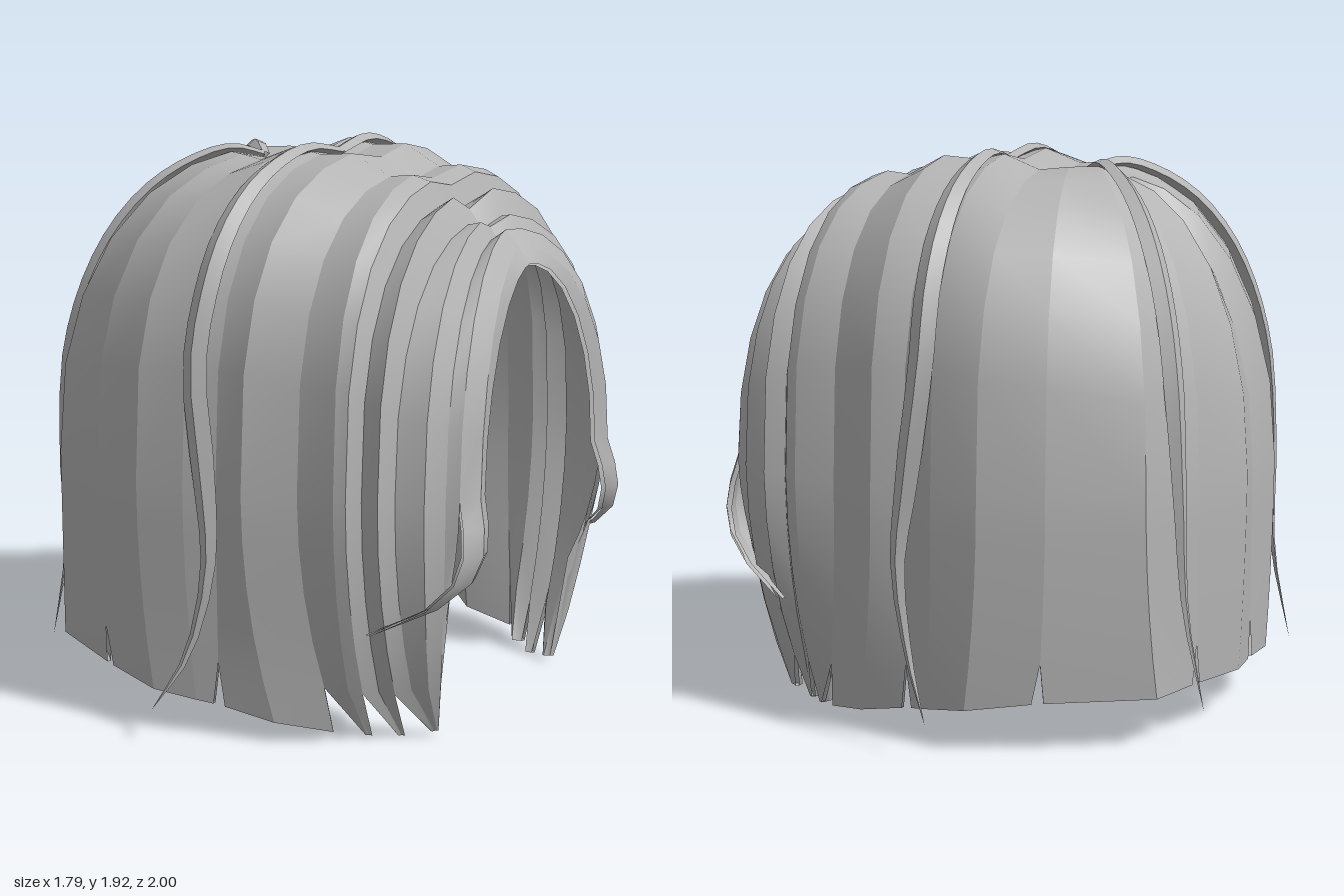
import * as THREE from 'three';

const hair = new THREE.MeshStandardMaterial({ color: 0xb4b4b4, side: THREE.DoubleSide });
hair.name = 'hairGrey';

const BULGE_Y = 0.85;
const ANGLES = [0, 0.13, 0.32, 0.55, 0.8, 1.05, 1.3, Math.PI / 2];
const DROPS = [0.2, 0.4, 0.6, 0.8, 1];

// Strand edge: from the parting over the dome to its widest point, then down to the hem
function edge(xr, yr, xb, zb, xh, yh, zh, n, dip = 0.035, bend = 2) {
  const pts = ANGLES.map((a, i) => {
    const out = Math.pow(Math.sin(a), 2 / n);
    const up = i === ANGLES.length - 1 ? 0 : Math.pow(Math.cos(a), 2 / n);
    return new THREE.Vector3(xr + (xb - xr) * out, BULGE_Y + (yr - BULGE_Y) * up - (i ? 0 : dip), zb * out);
  });
  for (const t of DROPS) {
    const s = Math.pow(t, bend);
    pts.push(new THREE.Vector3(xb + (xh - xb) * s, BULGE_Y + (yh - BULGE_Y) * t, zb + (zh - zb) * s));
  }
  return pts;
}

// Edge of the face lock: its tail bows outward and sweeps back to a shared tip
function faceEdge(xr, yr, xb, zb, n) {
  const pts = edge(xr, yr, xb, zb, 0.6, 0.41, 0.74, n, 0, 4);
  DROPS.forEach((t, i) => {
    const p = pts[ANGLES.length + i], bow = Math.sin(Math.PI * t);
    p.x += 0.04 * bow;
    p.z += 0.03 * bow;
  });
  return pts;
}

// Geometry from equal-length rows of points
function grid(rows, side) {
  const cols = rows[0].length, pos = [], index = [];
  for (const row of rows) for (const p of row) pos.push(p.x, p.y, p.z * side);
  for (let r = 0; r < rows.length - 1; r++) {
    for (let c = 0; c < cols - 1; c++) {
      const a = r * cols + c, b = a + 1, d = a + cols, e = d + 1;
      if (side > 0) index.push(a, d, b, b, d, e);
      else index.push(a, b, d, b, e, d);
    }
  }
  const g = new THREE.BufferGeometry();
  g.setAttribute('position', new THREE.Float32BufferAttribute(pos, 3));
  g.setIndex(index);
  g.computeVertexNormals();
  return g;
}

const inset = (p, d) => new THREE.Vector3(p.x * (1 - d), p.y - 0.6 * d * Math.max(0, p.y - BULGE_Y), p.z * (1 - d));

// A strand is a run of panels between edges: thin at its sides, thick in the middle.
// Its hem is pinched at both corners, or drawn towards the edge numbered tip.
function strand(name, edges, side, { pinch = 0.02, thick = 0.13, tip = -1 } = {}) {
  const group = new THREE.Group();
  group.name = name;
  const lines = edges.map(l => l.map(p => p.clone()));
  const last = lines[0].length - 1, k = lines.length - 1;
  const hem = lines.map(l => l[last].clone());
  if (tip >= 0) {
    lines.forEach(l => l[last].lerp(hem[tip], 0.8));
  } else {
    for (const [a, b] of [[0, 1], [k, k - 1]]) {
      lines[a][last].lerp(hem[b], Math.min(pinch / hem[a].distanceTo(hem[b]), 0.45));
    }
  }
  const under = lines.map((l, i) => l.map(p => inset(p, i === 0 || i === k ? 0.015 : thick)));
  const panel = (a, b) => a.map((p, r) => [p, b[r]]);
  for (let i = 0; i < k; i++) {
    const outer = panel(lines[i], lines[i + 1]);
    const inner = panel(under[i], under[i + 1]);
    const parts = { Outer: outer, Inner: inner.slice().reverse(), Hem: [outer[last], inner[last]] };
    for (const [part, rows] of Object.entries(parts)) {
      const mesh = new THREE.Mesh(grid(rows, side), hair);
      mesh.name = name + part;
      group.add(mesh);
    }
  }
  return group;
}

// A loose lock: diamond section following the dome, then a tail tapering to a point
function lock(name, dome, tail, width, height, side) {
  const group = new THREE.Group();
  group.name = name;
  const curve = new THREE.CatmullRomCurve3([...dome.slice(0, 7), ...tail.map(p => new THREE.Vector3(...p))]);
  const N = 24, rings = [];
  for (let i = 0; i <= N; i++) {
    const t = i / N, p = curve.getPoint(t), tan = curve.getTangent(t);
    const out = new THREE.Vector3(p.x, Math.max(0, p.y - BULGE_Y), p.z);
    out.addScaledVector(tan, -out.dot(tan)).normalize();
    const across = new THREE.Vector3().crossVectors(out, tan);
    const s = Math.min(1, 0.6 + t) * Math.min(1, (1 - t) * 3);
    rings.push([[1, 0], [0, 1], [-1, 0], [0, -1], [1, 0]].map(([u, v]) =>
      p.clone().addScaledVector(across, u * width * s).addScaledVector(out, v * height * s)));
  }
  for (let f = 0; f < 4; f++) {
    const mesh = new THREE.Mesh(grid(rings.map(r => [r[f], r[f + 1]]), side), hair);
    mesh.name = name + 'Face';
    group.add(mesh);
  }
  return group;
}

export function createModel() {
  const model = new THREE.Group();
  model.name = 'bobHair';

  // Edges in order from the back round the side to the face opening
  const back0 = edge(-0.32, 1.79, -0.85, 0, -0.85, 0.17, 0, 2.0);
  const back1 = edge(-0.32, 1.83, -0.88, 0.16, -0.86, 0.17, 0.16, 2.05);
  const back2 = edge(-0.3, 1.84, -0.79, 0.4, -0.78, 0.17, 0.38, 2.15);
  const back3 = edge(-0.25, 1.87, -0.69, 0.64, -0.72, 0.17, 0.6, 2.2);
  const side1 = edge(-0.19, 1.87, -0.41, 0.81, -0.38, 0.17, 0.8, 2.5);
  const side2 = edge(-0.12, 1.86, -0.2, 0.88, -0.15, 0.14, 0.87, 2.7);
  const side3 = edge(0.0, 1.91, -0.03, 0.86, 0.0, 0.12, 0.84, 2.7);
  const side4 = edge(0.1, 1.89, 0.08, 0.83, 0.08, 0.11, 0.82, 2.7);
  const side5 = edge(0.23, 1.9, 0.19, 0.85, 0.27, 0.07, 0.78, 2.7);
  const side6 = edge(0.36, 1.83, 0.36, 0.78, 0.45, 0.03, 0.66, 2.7);
  const front1 = edge(0.43, 1.84, 0.5, 0.79, 0.49, 0.03, 0.62, 2.7);
  const front2 = edge(0.5, 1.82, 0.54, 0.78, 0.53, 0.01, 0.58, 2.6);
  const front3 = edge(0.53, 1.74, 0.57, 0.73, 0.57, 0.01, 0.54, 2.6);
  const front4 = edge(0.57, 1.77, 0.64, 0.75, 0.61, 0.0, 0.5, 2.5, 0.06);
  const front5 = edge(0.62, 1.68, 0.67, 0.69, 0.66, 0.02, 0.48, 2.4);
  const front6 = edge(0.65, 1.69, 0.76, 0.66, 0.69, 0.02, 0.46, 2.3);
  const front7 = edge(0.68, 1.63, 0.8, 0.59, 0.71, 0.02, 0.45, 2.2, 0.02);
  const face1 = faceEdge(0.71, 1.65, 0.84, 0.57, 2.1);
  const face2 = faceEdge(0.76, 1.59, 0.88, 0.5, 2.0);
  const face3 = faceEdge(0.8, 1.54, 0.86, 0.43, 1.9);
  // Front edge of the band behind the face lock, which stays close to the cheek
  const band = edge(0.71, 1.65, 0.84, 0.57, 0.74, 0.38, 0.52, 2.1, 0);

  const backDome = edge(-0.25, 1.88, -0.755, 0.53, -0.78, 0.17, 0.5, 2.2);
  const sideDome = edge(0.06, 1.91, 0.01, 0.865, 0, 0.12, 0.86, 2.7);

  for (const side of [1, -1]) {
    const tag = side > 0 ? 'left' : 'right';
    model.add(
      strand(tag + 'BackStrand', [back0, back1, back2], side),
      strand(tag + 'BackCornerStrand', [back2, back3, side1], side),
      strand(tag + 'MiddleSideStrand', [side1, side2, side3, side4], side, { thick: 0.1 }),
      strand(tag + 'FrontSideStrand', [side4, side5, side6], side),
      strand(tag + 'TempleStrand', [side6, front1, front2], side, { thick: 0.06, tip: 2 }),
      strand(tag + 'TempleTip', [front2, front3, front4], side, { thick: 0.04, tip: 2 }),
      strand(tag + 'CheekStrand', [front4, front5, front6, front7], side, { thick: 0.04, tip: 3 }),
      strand(tag + 'FaceBand', [front7, band], side, { pinch: 0 }),
      strand(tag + 'FaceLock', [face1, face2, face3], side, { pinch: 0, thick: 0.03, tip: 1 }),
      lock(tag + 'BackLock', backDome,
        [[-0.765, 0.8, 0.52], [-0.78, 0.45, 0.5], [-0.85, 0.11, 0.5]], 0.04, 0.025, side),
      lock(tag + 'SideLock', sideDome,
        [[0.06, 0.85, 0.86], [0.08, 0.6, 0.88], [0.02, 0.3, 0.92], [-0.07, 0.12, 1.0]], 0.045, 0.025, side),
    );
  }
  return model;
}
